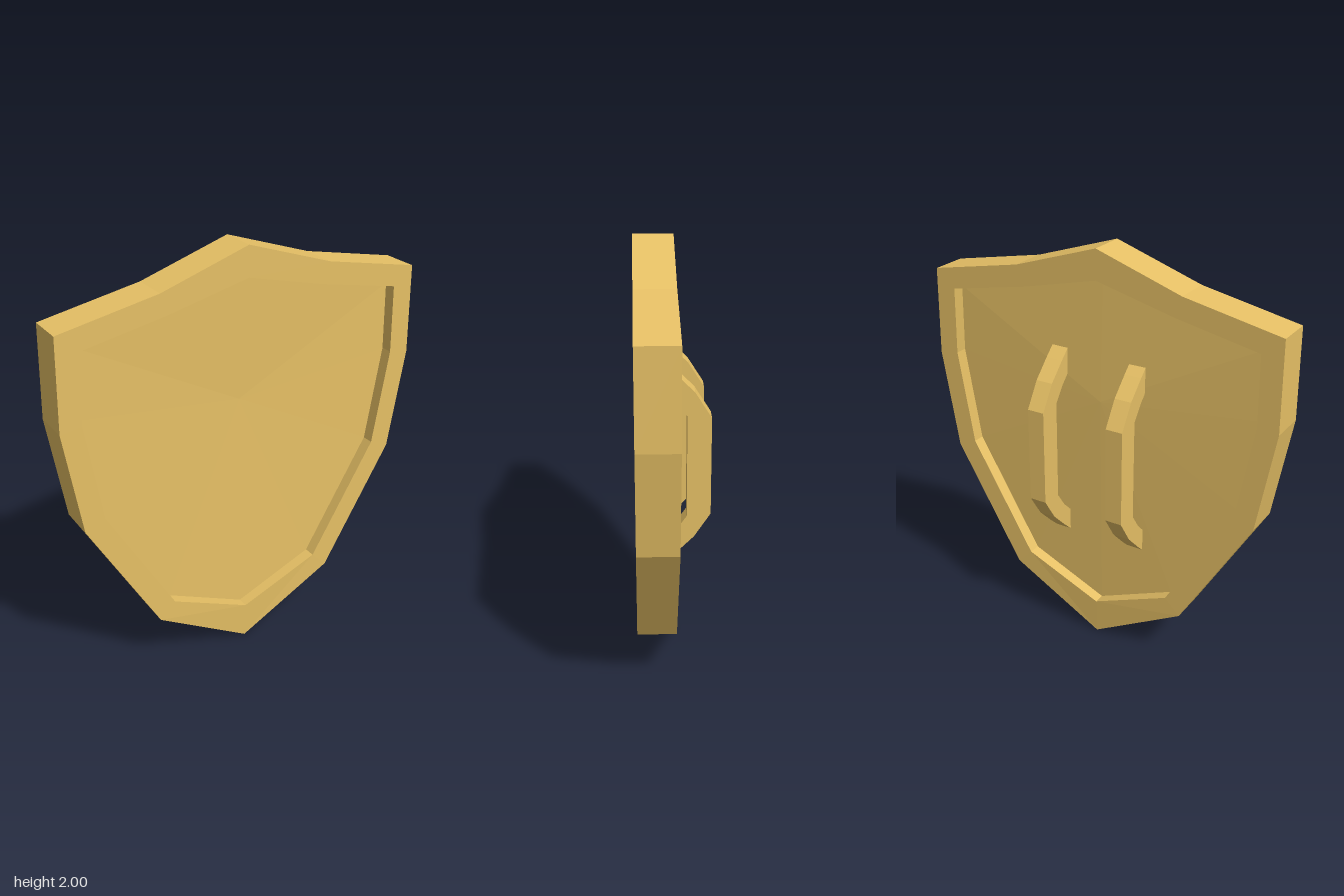
import * as THREE from 'three';

const material = new THREE.MeshStandardMaterial({ color: 0xe6c065, flatShading: true });

// Right-hand halves of the outlines, bottom tip to top point
const OUTER = [[0, 0.003], [0.467, 0.273], [0.812, 0.86], [0.893, 1.345], [0.886, 1.77], [0.42, 1.862], [0, 2]];
const INNER = [[0, 0.183], [0.39, 0.35], [0.715, 0.9], [0.793, 1.36], [0.787, 1.685], [0.39, 1.763], [0, 1.858]];
const BACK = -0.01, FRONT = 0.17;

// Closed counter-clockwise loop from a half outline
function mirrored(half) {
  const left = half.slice(1, -1).reverse().map(([x, y]) => [-x, y]);
  return [...half, ...left].map(([x, y]) => new THREE.Vector2(x, y));
}

function addMesh(group, name, geometry) {
  const mesh = new THREE.Mesh(geometry, material);
  mesh.name = name;
  group.add(mesh);
  return mesh;
}

// Thick frame, tapering slightly towards the bottom tip
function rimGeometry() {
  const shape = new THREE.Shape(mirrored(OUTER));
  shape.holes.push(new THREE.Path(mirrored(INNER)));
  const geometry = new THREE.ExtrudeGeometry(shape, { depth: FRONT - BACK, bevelEnabled: false });
  geometry.translate(0, 0, BACK);
  const p = geometry.attributes.position;
  for (let i = 0; i < p.count; i++) {
    const taper = 0.05 * Math.max(0, 0.273 - p.getY(i));
    p.setZ(i, p.getZ(i) + (p.getZ(i) > 0.08 ? -taper : taper));
  }
  geometry.computeVertexNormals();
  return geometry;
}

// Recessed panel: front and back fans, both dished towards the back
function panelGeometry() {
  const loop = mirrored(INNER);
  const positions = [];
  loop.forEach((a, i) => {
    const b = loop[(i + 1) % loop.length];
    positions.push(0, 1.27, 0.095, a.x, a.y, 0.112, b.x, b.y, 0.112);
    positions.push(0, 1.27, 0.03, b.x, b.y, 0.05, a.x, a.y, 0.05);
  });
  const geometry = new THREE.BufferGeometry();
  geometry.setAttribute('position', new THREE.Float32BufferAttribute(positions, 3));
  geometry.computeVertexNormals();
  return geometry;
}

// Angular grip: side profile (distance behind the shield, height) extruded across x
function handleGeometry(width) {
  const profile = [
    [-0.06, 1.505], [0, 1.45], [0.085, 1.365], [0.16, 1.245], [0.16, 0.78], [0.085, 0.665], [0, 0.58], [-0.06, 0.525],
    [-0.06, 0.635], [0, 0.695], [0.052, 0.77], [0.052, 1.255], [0, 1.325], [-0.06, 1.385],
  ];
  const shape = new THREE.Shape(profile.map(([s, y]) => new THREE.Vector2(s, y)));
  const geometry = new THREE.ExtrudeGeometry(shape, { depth: width, bevelEnabled: false });
  return geometry.translate(0, 0, -width / 2).rotateY(Math.PI / 2);
}

export function createModel() {
  const shield = new THREE.Group();
  shield.name = 'shield';
  addMesh(shield, 'rim', rimGeometry());
  addMesh(shield, 'panel', panelGeometry());

  // Two grips on the back, the left one standing out a little further
  const handle = handleGeometry(0.084);
  addMesh(shield, 'rightHandle', handle).position.x = -0.187;
  addMesh(shield, 'leftHandle', handle).position.set(0.223, 0, -0.01);
  return shield;
}
